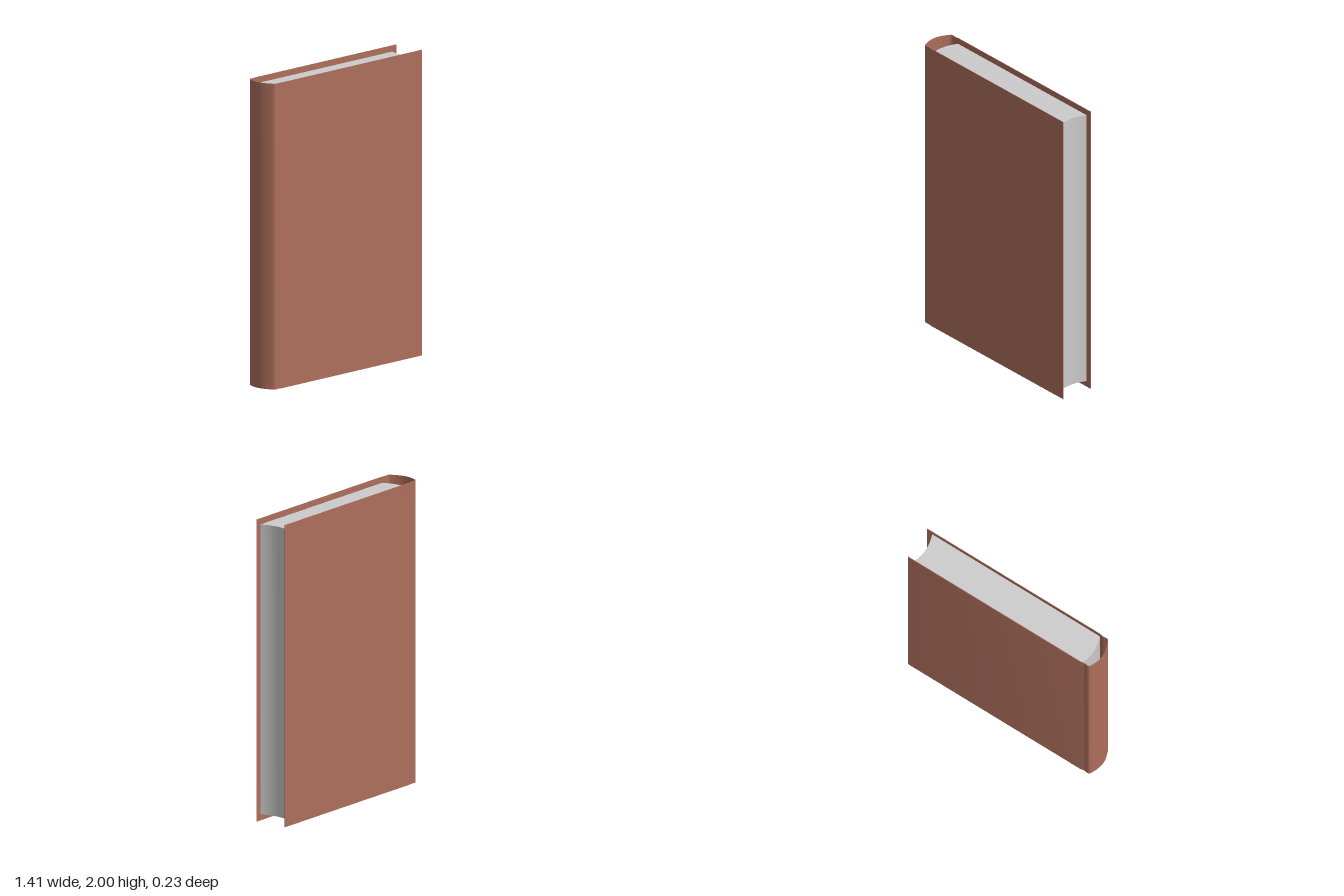
import * as THREE from 'three';
import { toCreasedNormals } from 'three/addons/utils/BufferGeometryUtils.js';

const HEIGHT = 2, HALF_W = 0.707, HALF_T = 0.115, BOARD = 0.004, SQUARE = 0.04;
const V = (x, y) => new THREE.Vector2(x, y);

// Extrude a plan outline upwards from y = base, smoothing the curved sides
function upright(name, outline, base, height, color) {
  let geo = new THREE.ExtrudeGeometry(new THREE.Shape(outline), { depth: height, bevelEnabled: false });
  geo.rotateX(-Math.PI / 2).translate(0, base, 0);
  geo = toCreasedNormals(geo, 0.6);
  const mesh = new THREE.Mesh(geo, new THREE.MeshStandardMaterial({ color }));
  mesh.name = name;
  return mesh;
}

// Plan of the case: flat boards, shallow hinge grooves and a rounded spine
function coverOutline() {
  const half = [
    V(-0.605, HALF_T), V(-0.622, 0.112), V(-0.635, 0.1105), V(-0.65, 0.112), V(-0.664, 0.112),
    V(-0.675, 0.104), V(-0.69, 0.074), V(-0.703, 0.035),
  ];
  const mirrored = half.map(p => V(p.x, -p.y)).reverse();
  const curve = new THREE.SplineCurve([...half, V(-HALF_W, 0), ...mirrored]);
  const outer = [V(HALF_W, HALF_T), ...curve.getPoints(64), V(HALF_W, -HALF_T)];
  // inner skin: offset by the board thickness
  const inner = outer.map((p, i) => {
    const a = outer[Math.max(i - 1, 0)], b = outer[Math.min(i + 1, outer.length - 1)];
    const t = b.clone().sub(a).normalize();
    return V(p.x - t.y * BOARD, p.y + t.x * BOARD);
  });
  inner[0].x = inner[inner.length - 1].x = HALF_W;
  return [...outer, ...inner.reverse()];
}

// Plan of the page block: rounded back, hollow fore edge
function pagesOutline() {
  const z = HALF_T - BOARD, n = 16, pts = [];
  const bow = (edge, depth, dir) => {
    for (let i = 0; i <= n; i++) {
      const s = dir * (1 - 2 * i / n);
      pts.push(V(edge - depth * (1 - s * s), s * z));
    }
  };
  bow(-0.607, 0.024, 1);
  bow(0.669, 0.024, -1);
  return pts;
}

export function createModel() {
  const book = new THREE.Group();
  book.name = 'book';
  book.add(
    upright('cover', coverOutline(), 0, HEIGHT, 0xae6f5c),
    upright('pages', pagesOutline(), SQUARE, HEIGHT - 2 * SQUARE, 0xcccccc),
  );
  return book;
}
